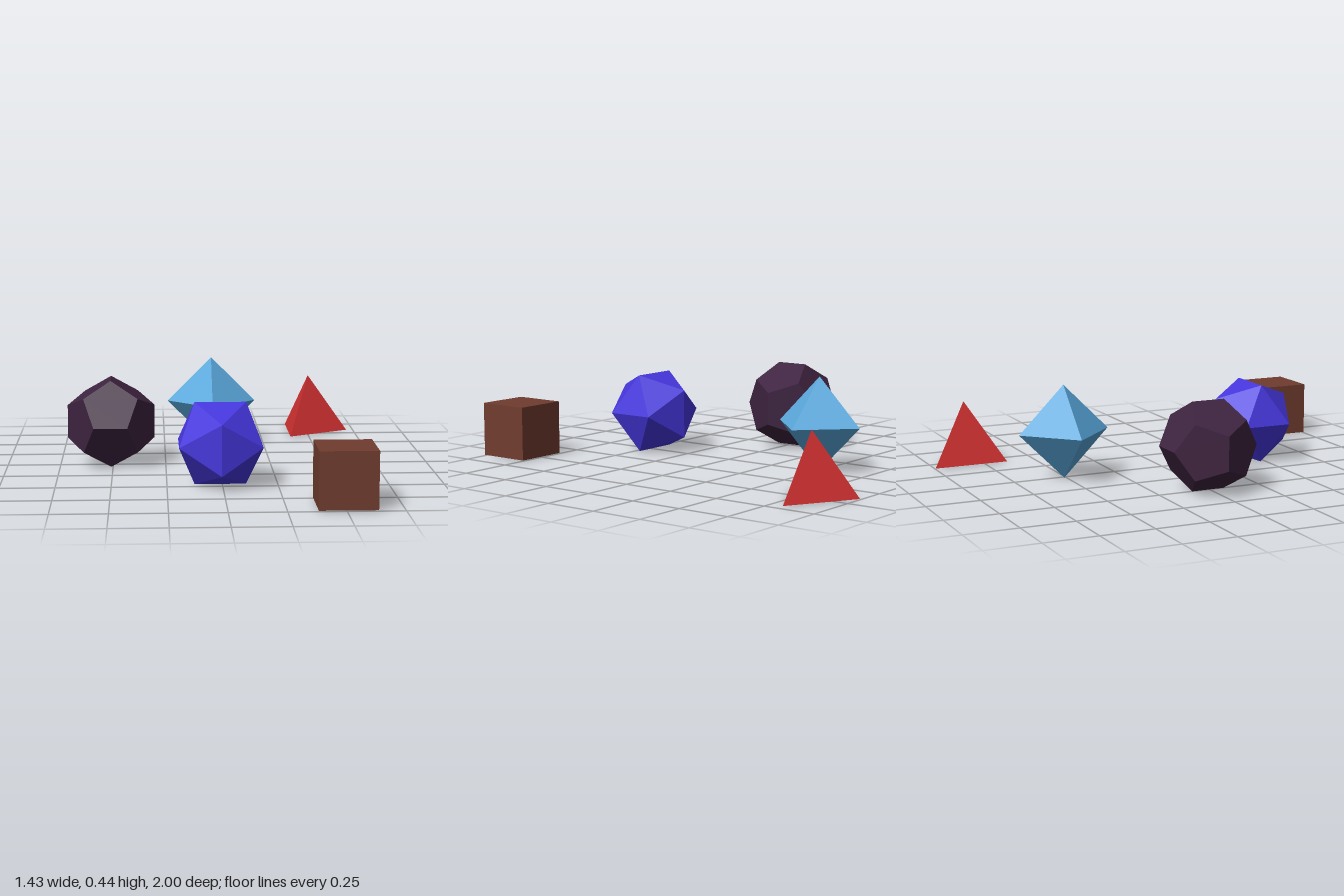
import * as THREE from 'three';

const R = 0.22; // circumscribed radius shared by all five solids

export function createModel() {
  const model = new THREE.Group();

  const add = (name, geometry, color, x, y, z, turn = 0) => {
    const material = new THREE.MeshStandardMaterial({ color, flatShading: true });
    const mesh = new THREE.Mesh(geometry, material);
    mesh.name = name;
    mesh.position.set(x, y, z);
    mesh.rotation.y = turn;
    model.add(mesh);
  };

  // Tetrahedron: three-sided cone resting on its base, one corner towards +x
  const tetraHeight = (4 / 3) * R;
  const tetraBase = (R * Math.sqrt(8)) / 3;
  add('tetrahedron', new THREE.ConeGeometry(tetraBase, tetraHeight, 3), 0xd03030,
    0.507, tetraHeight / 2 + 0.003, -0.82, Math.PI / 2);

  // Octahedron standing on a corner
  add('octahedron', new THREE.OctahedronGeometry(R), 0x5aa9dd, -0.014, R, -0.509);

  // Dodecahedron resting on an edge that runs along z
  add('dodecahedron', new THREE.DodecahedronGeometry(R), 0x3e2340,
    -0.508, 0.934 * R + 0.002, -0.012, Math.PI / 2);

  // Icosahedron resting on an edge that runs along x
  add('icosahedron', new THREE.IcosahedronGeometry(R), 0x4636dd,
    -0.01, 0.851 * R + 0.004, 0.467);

  // Cube
  const side = (2 * R) / Math.sqrt(3);
  add('cube', new THREE.BoxGeometry(side, side, side), 0x703c2e,
    0.507, side / 2 + 0.004, 0.873);

  return model;
}
